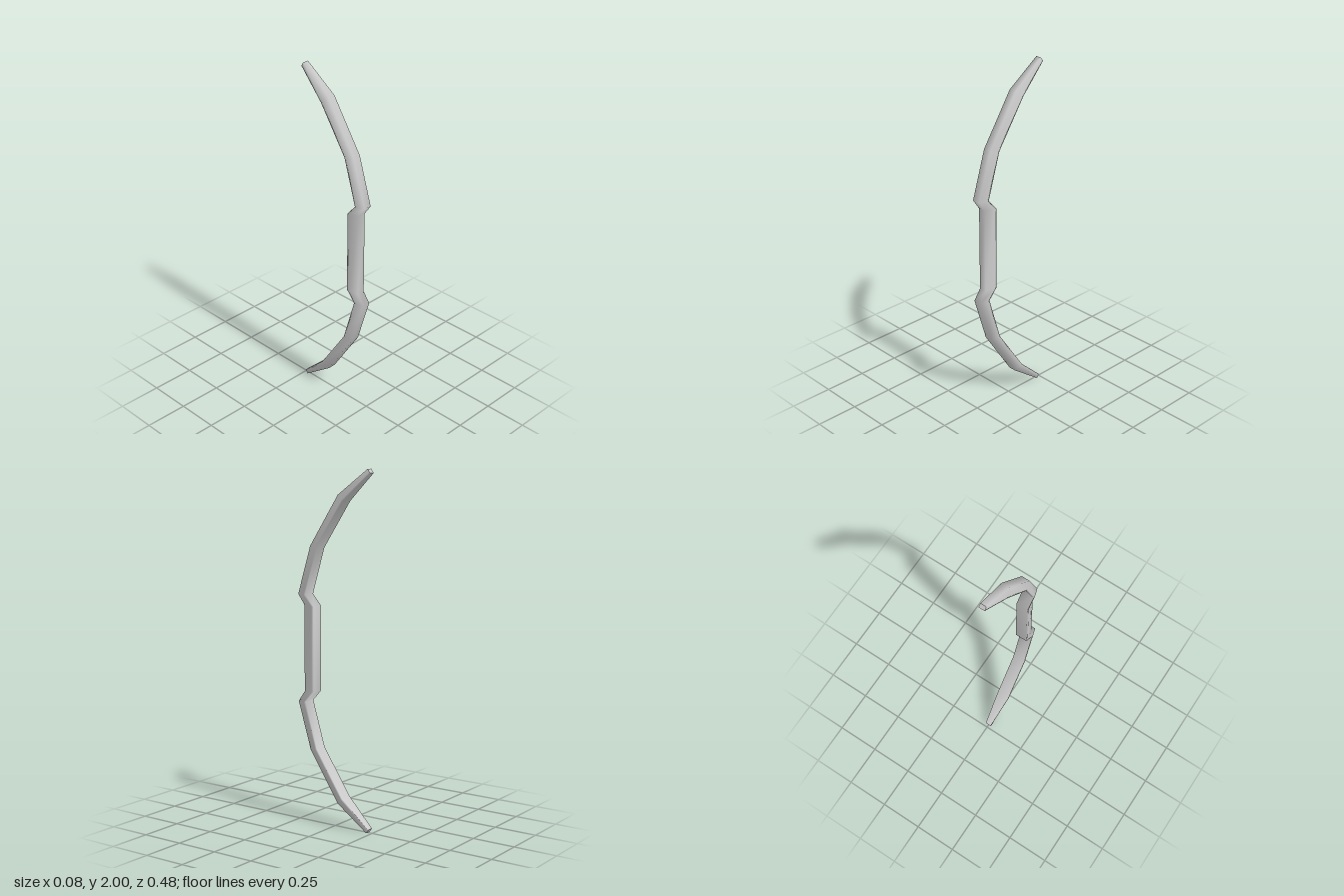
import * as THREE from 'three';

// Stations of the upper limb: front y, front z, back y, back z, half width, front half width
const STATIONS = [
  [1.245, 0.196, 1.24, 0.124, 0.036, 0.023],
  [1.305, 0.238, 1.303, 0.181, 0.038, 0.024],
  [1.575, 0.155, 1.565, 0.102, 0.038, 0.024],
  [1.86, -0.032, 1.825, -0.072, 0.038, 0.023],
  [2.0, -0.222, 1.978, -0.237, 0.018, 0.017],
];

// Cross-section: narrow flat front, sloping sides, wide back
function ring([yf, zf, yb, zb, w, f]) {
  const at = (x, t) => [x, yf + (yb - yf) * t, zf + (zb - zf) * t];
  return [at(-f, 0), at(f, 0), at(w, 0.8), at(w * 0.97, 1), at(-w * 0.97, 1), at(-w, 0.8)];
}

function geometryFrom(positions, index) {
  const g = new THREE.BufferGeometry();
  g.setAttribute('position', new THREE.Float32BufferAttribute(positions, 3));
  g.setIndex(index);
  g.computeVertexNormals();
  return g;
}

// Skin between successive rings, smooth shaded
function loft(rings) {
  const n = rings[0].length, index = [];
  for (let i = 0; i < rings.length - 1; i++) {
    for (let j = 0; j < n; j++) {
      const a = i * n + j, b = i * n + (j + 1) % n;
      index.push(a, b, b + n, a, b + n, a + n);
    }
  }
  return geometryFrom(rings.flat(2), index);
}

// Flat end face
function cap(points) {
  const index = [];
  for (let i = 1; i < points.length - 1; i++) index.push(0, i, i + 1);
  return geometryFrom(points.flat(), index);
}

export function createModel() {
  const model = new THREE.Group();
  model.name = 'bow';
  const material = new THREE.MeshStandardMaterial({ color: 0xcccccc });
  const add = (name, geometry) => {
    const mesh = new THREE.Mesh(geometry, material);
    mesh.name = name;
    model.add(mesh);
  };

  // The lower limb mirrors the upper one about y = 1
  const lower = STATIONS.map(([yf, zf, yb, zb, w, f]) => [2 - yf, zf, 2 - yb, zb, w, f]).reverse();
  const rings = [...lower, ...STATIONS].map(ring);

  // Limbs and grip form one continuous stave
  add('stave', loft(rings));
  add('upperTip', cap(rings[rings.length - 1]));
  add('lowerTip', cap([...rings[0]].reverse()));
  return model;
}
